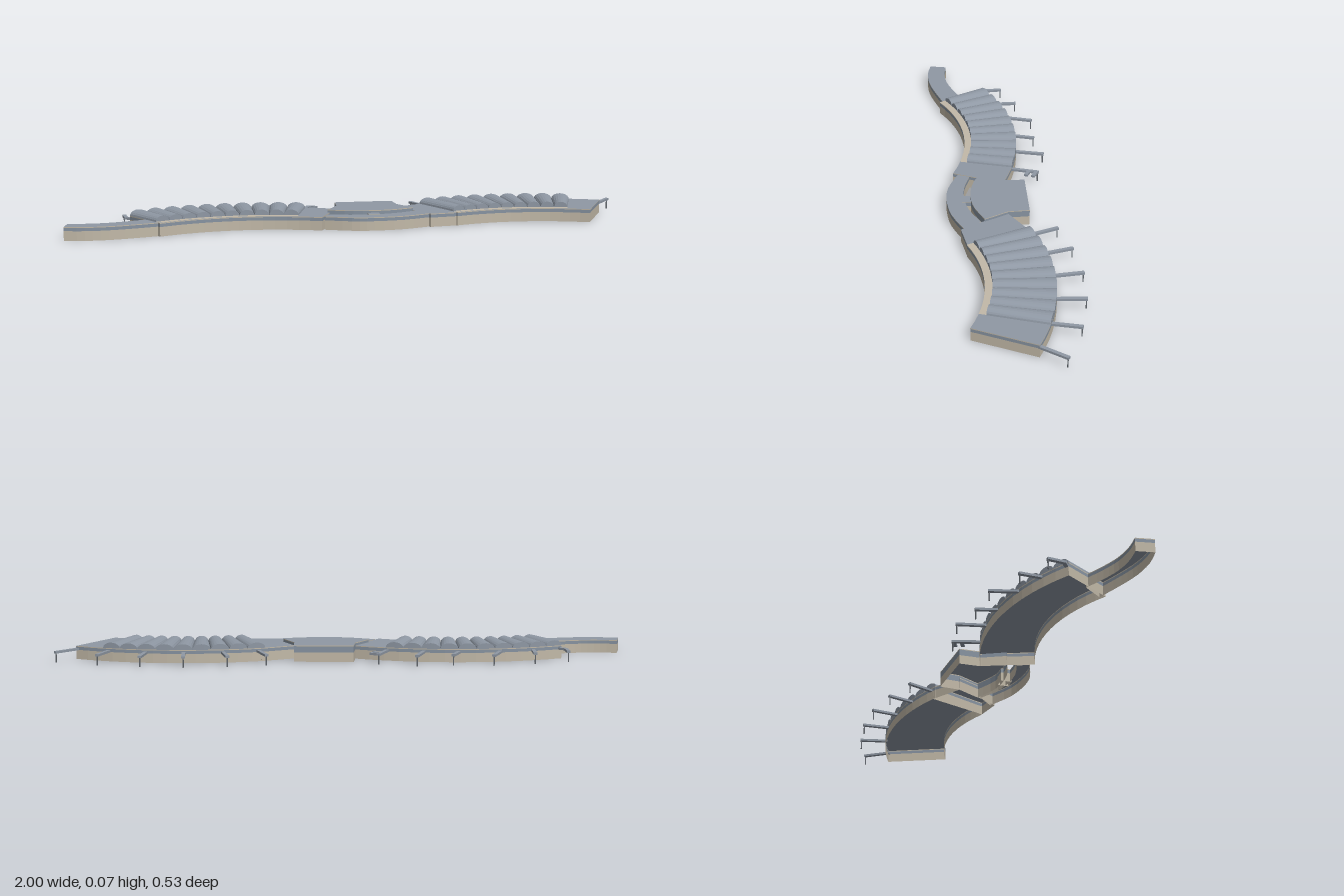
import * as THREE from 'three';

const mat = (name, color) => {
  const m = new THREE.MeshStandardMaterial({ color, side: THREE.DoubleSide });
  m.name = name;
  return m;
};

export function createModel() {
  const root = new THREE.Group();
  root.name = 'curvedTerminal';
  const roofGrey = mat('roofGrey', 0x8f98a4);
  const stone = mat('paleStone', 0xc2b9a8);
  const glass = mat('windowBand', 0x8793a1);
  const steel = mat('darkSteel', 0x63686e);
  const H = 0.047;

  const add = (parent, name, geometry, material) => {
    const mesh = new THREE.Mesh(geometry, material);
    mesh.name = name;
    parent.add(mesh);
    return mesh;
  };

  // Flat-shaded strip between two rows of points
  const strip = (a, b, closed) => {
    const pos = [];
    const n = closed ? a.length : a.length - 1;
    for (let i = 0; i < n; i++) {
      const j = (i + 1) % a.length;
      pos.push(...a[i], ...a[j], ...b[j], ...a[i], ...b[j], ...b[i]);
    }
    const g = new THREE.BufferGeometry();
    g.setAttribute('position', new THREE.Float32BufferAttribute(pos, 3));
    g.computeVertexNormals();
    return g;
  };

  // Open-bottomed building from a plan outline of [x, z] points
  const building = (name, plan, h = H) => {
    const g = new THREE.Group();
    g.name = name;
    root.add(g);
    const pts = plan.map(([x, z]) => new THREE.Vector2(x, -z));
    if (THREE.ShapeUtils.area(pts) < 0) pts.reverse();
    const row = (y) => pts.map((p) => [p.x, y, -p.y]);
    add(g, 'lowerWall', strip(row(0), row(0.033), true), stone);
    add(g, 'windowBand', strip(row(0.033), row(h - 0.003), true), glass);
    add(g, 'cornice', strip(row(h - 0.003), row(h), true), stone);
    const roof = new THREE.ShapeGeometry(new THREE.Shape(pts));
    roof.rotateX(-Math.PI / 2).translate(0, h, 0);
    add(g, 'flatRoof', roof, roofGrey);
    return g;
  };

  // Smooth plan curve through a few [x, z] points
  const smooth = (list, n = 12) =>
    new THREE.SplineCurve(list.map((p) => new THREE.Vector2(...p)))
      .getPoints(n).map((p) => [p.x, p.y]);

  // Curved wing: radial plan, barrel vaults and a stone terrace in front
  const wing = (name, { cx, cz, rIn, rOut, start, vaultEnd, end, count }) => {
    const rad = Math.PI / 180;
    const at = (r, deg) => [cx + r * Math.sin(deg * rad), cz - r * Math.cos(deg * rad)];
    const arc = (r, a, b, n) =>
      Array.from({ length: n + 1 }, (_, i) => at(r, a + ((b - a) * i) / n));
    const g = building(name, [...arc(rOut, start, end, 14), ...arc(rIn, end, start, 14)]);
    const flat = (p, y) => p.map(([x, z]) => [x, y, z]);
    const rVault = rIn + 0.025;
    add(g, 'terrace', strip(flat(arc(rIn, start, vaultEnd, 14), H + 0.001),
      flat(arc(rVault, start, vaultEnd, 14), H + 0.001)), stone);

    const step = (vaultEnd - start) / count;
    const seg = 10;
    for (let i = 0; i < count; i++) {
      const mid = start + (i + 0.5) * step;
      const section = (r) => Array.from({ length: seg + 1 }, (_, k) => {
        const t = Math.PI * (1 - k / seg);
        const [x, z] = at(r, mid + Math.cos(t) * step * 0.5);
        return [x, H + 0.02 * Math.sin(t), z];
      });
      const front = section(rVault);
      const back = section(rOut);
      add(g, 'barrelVault', strip(front, back), roofGrey);
      for (const end of [front, back]) {
        const base = end.map(([x, , z]) => [x, H, z]);
        add(g, 'vaultEnd', strip(base, end), roofGrey);
      }
    }
  };

  wing('rightWing', { cx: -0.35, cz: 0.745, rIn: 0.622, rOut: 0.815,
    start: -32, vaultEnd: 13.5, end: 21.5, count: 10 });
  wing('leftWing', { cx: 0.61, cz: 0.64, rIn: 0.575, rOut: 0.808,
    start: -25.5, vaultEnd: 16, end: 24, count: 9 });

  // Low curved tail on the right
  building('tailCorridor', [
    ...smooth([[-1, 0.257], [-0.93, 0.267], [-0.85, 0.26], [-0.77, 0.237], [-0.67, 0.2]]),
    ...smooth([[-0.72, 0.135], [-0.79, 0.168], [-0.86, 0.192], [-0.93, 0.2], [-0.99, 0.195]]),
  ]);

  // Crescent corridor joining the wings along the front
  building('crescentCorridor', [
    ...smooth([[-0.11, 0.15], [-0.02, 0.183], [0.06, 0.19], [0.165, 0.173], [0.27, 0.125]]),
    ...smooth([[0.215, 0.07], [0.135, 0.111], [0.06, 0.127], [-0.02, 0.127], [-0.095, 0.108]]),
  ]);

  // Flat-roofed connector beside the left wing
  building('wingConnector',
    [[0.275, -0.095], [0.165, -0.025], [0.215, 0.065], [0.265, 0.14], [0.36, 0.12]]);

  // Taller central hall with a curved front
  building('centralHall', [
    [-0.05, -0.09], [0.16, -0.1], [0.167, -0.025],
    ...smooth([[0.215, 0.058], [0.135, 0.094], [0.06, 0.105], [-0.02, 0.098], [-0.092, 0.072]], 10),
    [-0.05, -0.015],
  ], 0.058);
  building('hallLink', [[0.045, 0.095], [0.085, 0.095], [0.085, 0.135], [0.045, 0.135]], 0.049);

  // Boarding bridges: [outer x, outer z, inner x, inner z]
  const beam = (parent, name, [x1, z1, x2, z2], width = 0.013) => {
    const len = Math.hypot(x2 - x1, z2 - z1);
    const m = add(parent, name, new THREE.BoxGeometry(width, 0.008, len), roofGrey);
    m.position.set((x1 + x2) / 2, 0.036, (z1 + z2) / 2);
    m.rotation.y = Math.atan2(x2 - x1, z2 - z1);
  };
  const bridges = [
    [-0.803, -0.025, -0.795, 0.04], [-0.685, -0.08, -0.68, 0],
    [-0.54, -0.137, -0.565, -0.04], [-0.4, -0.14, -0.42, -0.06],
    [-0.275, -0.17, -0.297, -0.06], [-0.14, -0.145, -0.168, -0.04],
    [0.245, -0.195, 0.29, -0.09], [0.375, -0.238, 0.408, -0.135],
    [0.525, -0.265, 0.542, -0.16], [0.677, -0.265, 0.675, -0.16],
    [0.832, -0.24, 0.81, -0.135], [0.993, -0.185, 0.93, -0.095],
  ];
  for (const b of bridges) {
    const g = new THREE.Group();
    g.name = 'boardingBridge';
    root.add(g);
    beam(g, 'bridgeTunnel', b);
    const leg = add(g, 'bridgeLeg', new THREE.BoxGeometry(0.004, 0.033, 0.004), steel);
    leg.position.set(b[0] + (b[2] - b[0]) * 0.04, 0.0165, b[1] + (b[3] - b[1]) * 0.04);
  }

  // Side arms of the two end bridges
  beam(root, 'bridgeElbow', [-0.797, 0.033, -0.755, 0.065]);
  beam(root, 'bridgeArm', [-0.145, -0.14, -0.11, -0.122]);
  beam(root, 'bridgeArm', [-0.15, -0.112, -0.118, -0.097]);

  return root;
}
